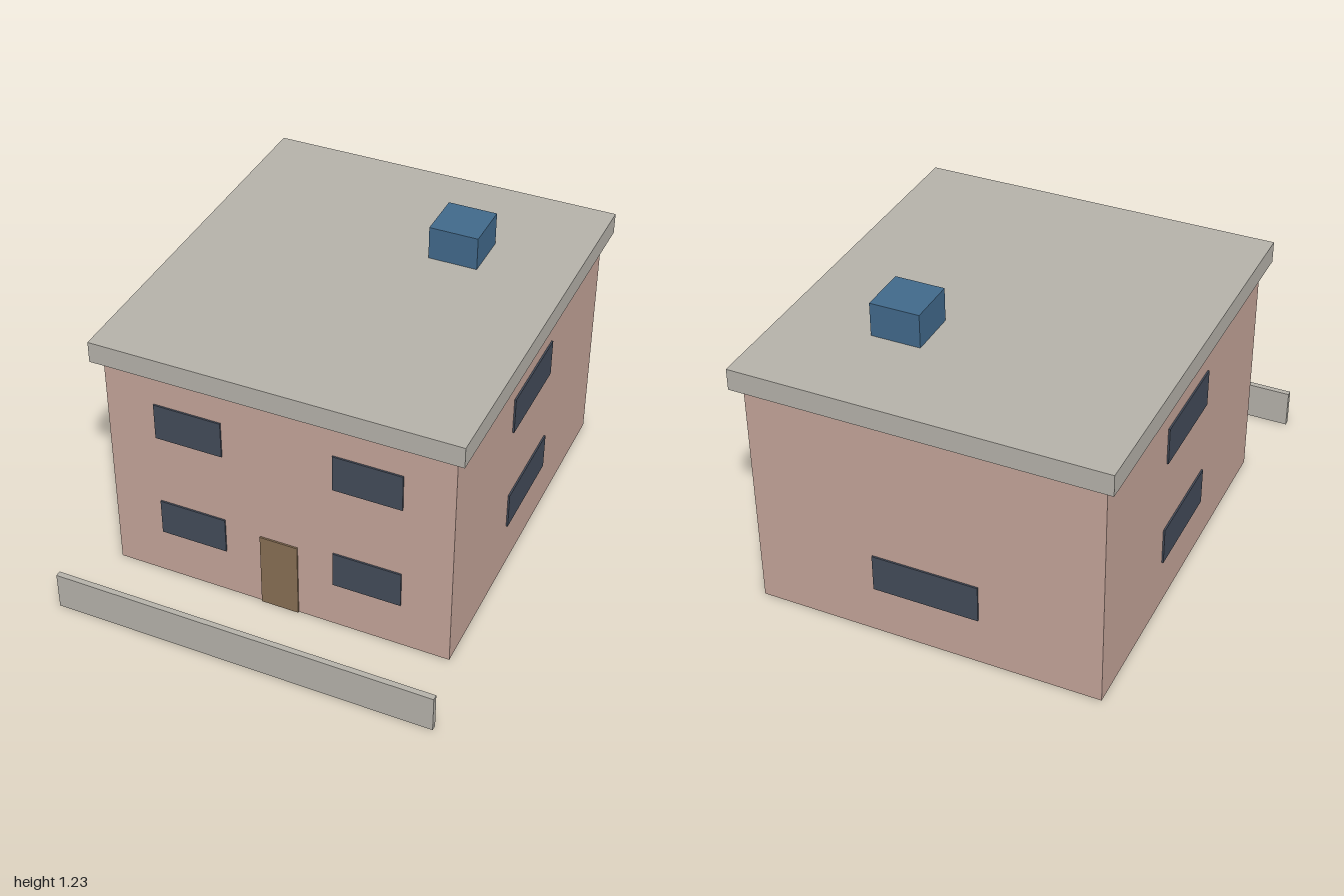
import * as THREE from 'three';

const material = (name, color) => {
  const m = new THREE.MeshStandardMaterial({ color });
  m.name = name;
  return m;
};

export function createModel() {
  const house = new THREE.Group();
  house.name = 'house';

  const plaster = material('pink plaster', 0xc4a499);
  const concrete = material('grey concrete', 0xb5b2aa);
  const glass = material('dark glass', 0x434b59);
  const wood = material('brown wood', 0x876e54);
  const metal = material('blue metal', 0x41698b);

  // Box given by its lower and upper corner
  const box = (name, mat, [x0, y0, z0], [x1, y1, z1]) => {
    const mesh = new THREE.Mesh(new THREE.BoxGeometry(x1 - x0, y1 - y0, z1 - z0), mat);
    mesh.name = name;
    mesh.position.set((x0 + x1) / 2, (y0 + y1) / 2, (z0 + z1) / 2);
    house.add(mesh);
  };

  const X = 0.721, FRONT = 0.64, BACK = -0.96, T = 0.007;

  // Main body, overhanging roof slab and rooftop unit
  box('walls', plaster, [-X, 0, BACK], [X, 1, FRONT]);
  box('roof', concrete, [-0.76, 1, -1], [0.76, 1.09, 0.678]);
  box('rooftopUnit', metal, [0.182, 1.09, -0.587], [0.388, 1.232, -0.38]);

  // Front door and free-standing garden wall
  box('door', wood, [-0.08, 0, FRONT], [0.08, 0.34, FRONT + T]);
  box('gardenWall', concrete, [-0.8, 0, 0.976], [0.8, 0.162, 1]);

  // Windows on two floors, mirrored left and right
  for (const y of [0.21, 0.69]) {
    for (const side of [-1, 1]) {
      const cx = side * 0.373;
      box('frontWindow', glass, [cx - 0.142, y, FRONT], [cx + 0.142, y + 0.16, FRONT + T]);
      const sx = side * (X + T / 2);
      box('sideWindow', glass, [sx - T / 2, y, -0.37], [sx + T / 2, y + 0.16, 0.05]);
    }
  }

  // Single ground-floor window at the back
  box('backWindow', glass, [-0.22, 0.21, BACK - T], [0.22, 0.37, BACK]);

  return house;
}
